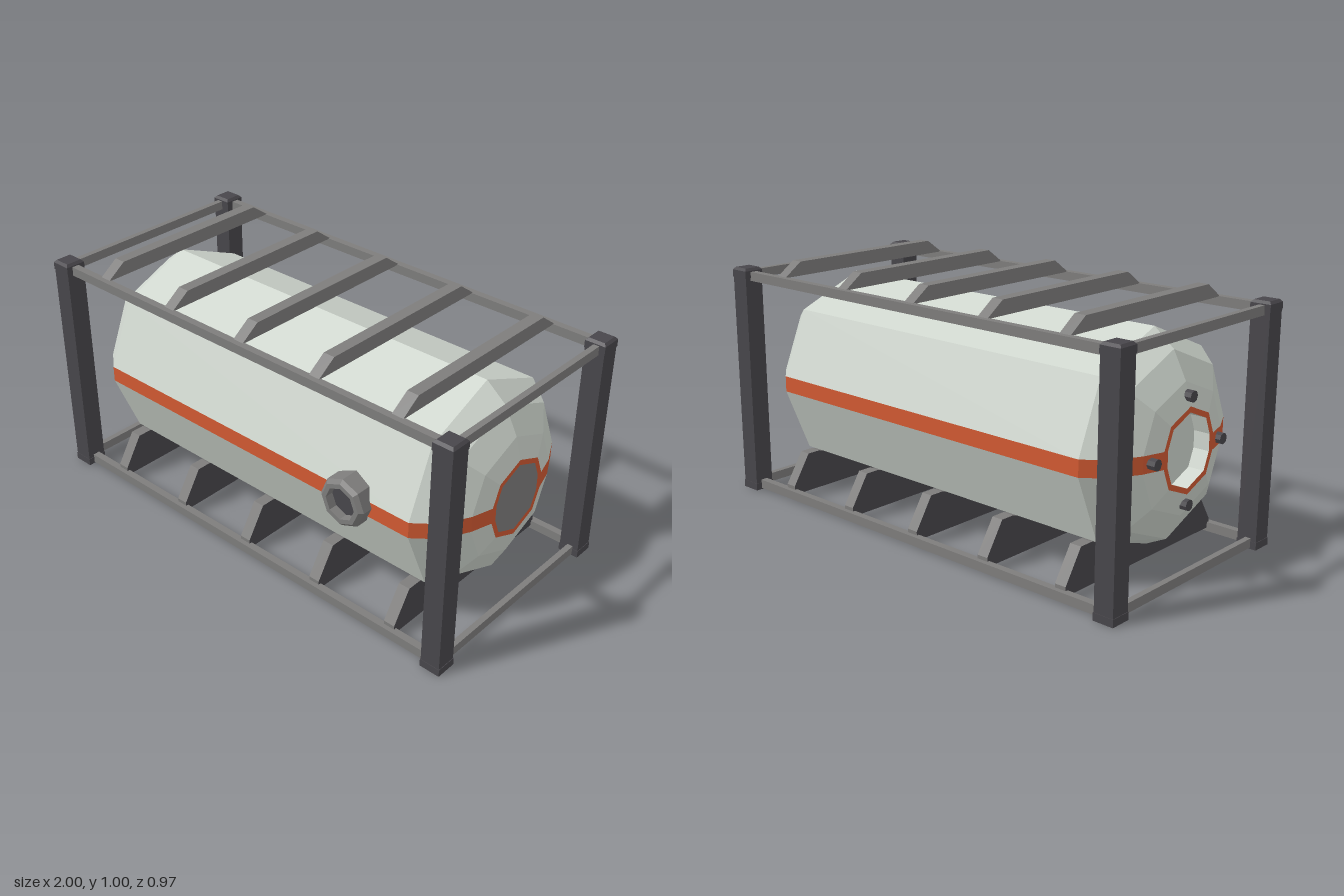
import * as THREE from 'three';

const mat = (name, color) => {
  const m = new THREE.MeshStandardMaterial({ color, flatShading: true });
  m.name = name;
  return m;
};

export function createModel() {
  const sage = mat('tankPaint', 0xcfd6ce);
  const orange = mat('stripeOrange', 0xd25a32);
  const steel = mat('steelGrey', 0x7e7d7c);
  const dark = mat('darkSteel', 0x48464b);
  const group = new THREE.Group();
  const CY = 0.485;

  const add = (name, geo, material, x = 0, y = 0, z = 0) => {
    const m = new THREE.Mesh(geo, material);
    m.name = name;
    m.position.set(x, y, z);
    group.add(m);
    return m;
  };
  const box = (name, material, w, h, d, x, y, z) =>
    add(name, new THREE.BoxGeometry(w, h, d), material, x, y, z);

  // Tank cross-section: octagon whose side corners are flattened for the stripe
  const ring = (x, r, bottom = r) => {
    const h = Math.min(0.0325, r * 0.4), s = r - 0.41 * h, k = r * Math.SQRT1_2;
    return [[0, r], [k, k], [s, h], [s, -h], [k, -k], [0, -bottom],
      [-k, -k], [-s, -h], [-s, h], [-k, k]]
      .map(([z, y]) => new THREE.Vector3(x, CY + y, z));
  };

  // Sections from the recessed left end to the capped right end, with band material
  const sections = [
    [-0.88, 0], [-0.88, 0.14, 'sage'], [-0.945, 0.14, 'sage'],
    [-0.945, 0.162, 'orange'], [-0.92, 0.248, 'body'], [-0.865, 0.353, 'body'],
    [-0.78, 0.422, 'body', 0.395], [0.78, 0.422, 'body', 0.395],
    [0.865, 0.353, 'body'], [0.92, 0.248, 'body'], [0.945, 0.162, 'body'],
    [0.945, 0.14, 'orange'], [0.945, 0, 'steel'],
  ];
  const faces = { sage: [], orange: [], steel: [] };
  for (let j = 1; j < sections.length; j++) {
    const [x0, r0, , b0] = sections[j - 1], [x1, r1, kind, b1] = sections[j];
    const p = ring(x0, r0, b0), q = ring(x1, r1, b1);
    for (let i = 0; i < 10; i++) {
      const n = (i + 1) % 10;
      const stripe = i === 2 || i === 7;
      const key = kind === 'body' ? (stripe ? 'orange' : 'sage') : kind;
      if (r0 > 0) faces[key].push(p[i], p[n], q[n]);
      if (r1 > 0) faces[key].push(p[i], q[n], q[i]);
    }
  }
  const surface = (name, key, material) => {
    const g = new THREE.BufferGeometry().setFromPoints(faces[key]);
    g.computeVertexNormals();
    add(name, g, material);
  };
  surface('tankShell', 'sage', sage);
  surface('tankStripe', 'orange', orange);
  surface('endCap', 'steel', steel);

  // Bolts round the recessed end
  for (let i = 0; i < 4; i++) {
    const a = i * Math.PI / 2;
    const bolt = add('endBolt', new THREE.CylinderGeometry(0.022, 0.022, 0.04, 8), dark,
      -0.937, CY + 0.2 * Math.cos(a), 0.2 * Math.sin(a));
    bolt.rotation.z = Math.PI / 2;
  }

  // Corner posts with bevelled tops
  const bevel = new THREE.CylinderGeometry(0.033 * Math.SQRT2, 0.0425 * Math.SQRT2, 0.01, 4);
  bevel.rotateY(Math.PI / 4);
  for (const sx of [-1, 1]) for (const sz of [-1, 1]) {
    const x = sx * 0.9575, z = sz * 0.4425;
    box('cornerPost', dark, 0.081, 0.92, 0.081, x, 0.48, z);
    box('postFoot', dark, 0.085, 0.03, 0.085, x, 0.015, z);
    box('postCap', dark, 0.085, 0.03, 0.085, x, 0.935, z);
    add('postTop', bevel, dark, x, 0.955, z);
  }

  // Long and end rails, top and bottom
  for (const y of [0.024, 0.927]) for (const s of [-1, 1]) {
    box('longRail', steel, 1.84, 0.037, 0.03, 0, y, s * 0.444);
    box('endRail', steel, 0.024, 0.037, 0.81, s * 0.963, y, 0);
  }

  // Cross members: top bars and the saddles under the tank
  const plate = (points, width) => {
    const shape = new THREE.Shape(points.map(([z, y]) => new THREE.Vector2(z, y)));
    const g = new THREE.ExtrudeGeometry(shape, { depth: width, bevelEnabled: false });
    g.translate(0, 0, -width / 2);
    return g.rotateY(-Math.PI / 2);
  };
  const bar = plate([[-0.44, 0.943], [0.44, 0.943], [0.36, 1], [-0.36, 1]], 0.048);
  const saddle = plate([[-0.44, 0.02], [0.44, 0.02], [0.44, 0.057], [0.36, 0.183],
    [0.3, 0.183], [0, 0.088], [-0.3, 0.183], [-0.36, 0.183], [-0.44, 0.057]], 0.048);
  for (let i = -2; i <= 2; i++) {
    add('topBar', bar, steel, i * 0.368);
    add('saddle', saddle, [dark, steel], i * 0.368);
  }

  // Valve port on the front: bevelled octagonal collar with a dark bore
  const profile = [[0.1, 0.36], [0.1, 0.45], [0.085, 0.465], [0.066, 0.465], [0.066, 0.425]]
    .map(([r, y]) => new THREE.Vector2(r, y));
  const port = new THREE.LatheGeometry(profile, 8).rotateX(Math.PI / 2);
  add('portCollar', port, steel, 0.515, 0.495, 0);
  const bore = new THREE.CylinderGeometry(0.066, 0.066, 0.009, 8).rotateX(Math.PI / 2);
  add('portBore', bore, dark, 0.515, 0.495, 0.425);

  return group;
}
